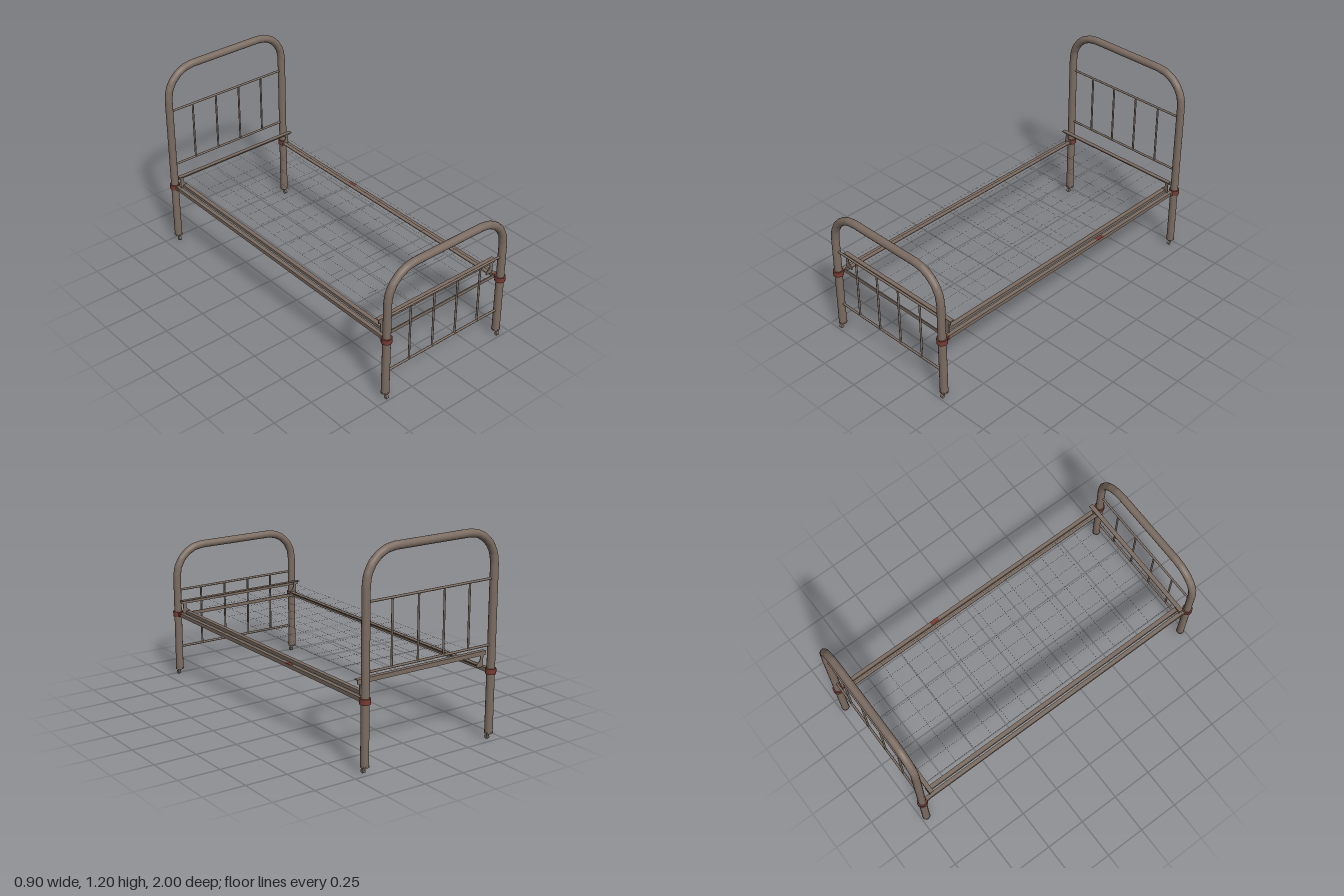
import * as THREE from 'three';

export function createModel() {
  const bed = new THREE.Group();
  bed.name = 'bed';
  const paint = (name, color) => {
    const m = new THREE.MeshStandardMaterial({ color });
    m.name = name;
    return m;
  };
  const metal = paint('agedMetal', 0x7b6c61);
  const rust = paint('rustRed', 0x783c34);

  const V = (x, y, z) => new THREE.Vector3(x, y, z);
  const add = (parent, name, geo, mat, x = 0, y = 0, z = 0) => {
    const mesh = new THREE.Mesh(geo, mat);
    mesh.name = name;
    mesh.position.set(x, y, z);
    parent.add(mesh);
    return mesh;
  };
  const box = (parent, name, x0, x1, y0, y1, z0, z1, mat = metal) =>
    add(parent, name, new THREE.BoxGeometry(x1 - x0, y1 - y0, z1 - z0), mat,
      (x0 + x1) / 2, (y0 + y1) / 2, (z0 + z1) / 2);
  // Round bar between two points
  const rod = (parent, name, a, b, r, sides = 10) => {
    const d = b.clone().sub(a);
    const mesh = add(parent, name, new THREE.CylinderGeometry(r, r, d.length(), sides), metal);
    mesh.position.copy(a).add(b).multiplyScalar(0.5);
    mesh.quaternion.setFromUnitVectors(V(0, 1, 0), d.normalize());
    return mesh;
  };

  const POST = 0.421, END = 0.97, TUBE = 0.023, CORNER = 0.18;

  // Bent tube, cross rails, spindles, collars and casters of one bed end
  const bedEnd = (name, z, height, railLow, railHigh) => {
    const g = new THREE.Group();
    g.name = name;
    const top = height - TUBE, shoulder = top - CORNER, inner = POST - CORNER;
    const path = new THREE.CurvePath();
    const corner = (s) => {
      const pts = [];
      for (let i = 0; i <= 5; i++) {
        const a = (i / 5) * Math.PI / 2;
        pts.push(V(s * (inner + CORNER * Math.cos(a)), shoulder + CORNER * Math.sin(a), z));
      }
      return s < 0 ? pts : pts.reverse();
    };
    const pts = [V(-POST, 0.04, z), ...corner(-1), ...corner(1), V(POST, 0.04, z)];
    for (let i = 1; i < pts.length; i++) path.add(new THREE.LineCurve3(pts[i - 1], pts[i]));
    add(g, 'bentTubeFrame', new THREE.TubeGeometry(path, 110, TUBE, 16), metal);

    for (const y of [railLow, railHigh])
      rod(g, 'crossRail', V(-POST, y, z), V(POST, y, z), 0.007);
    for (const x of [-0.255, -0.085, 0.085, 0.255])
      rod(g, 'spindle', V(x, railLow, z), V(x, railHigh, z), 0.006);

    const inward = -Math.sign(z);
    for (const s of [-1, 1]) {
      add(g, 'legCap', new THREE.CylinderGeometry(0.0245, 0.0245, 0.008, 16), metal, s * POST, 0.041, z);
      add(g, 'collar', new THREE.CylinderGeometry(0.0305, 0.0305, 0.031, 16), rust, s * POST, 0.395, z);
      const zs = [z + inward * 0.02, z + inward * 0.045].sort((a, b) => a - b);
      box(g, 'collarTab', s * POST - 0.012, s * POST + 0.012, 0.383, 0.407, zs[0], zs[1],
        z > 0 && s > 0 ? rust : metal);
      // Caster
      rod(g, 'casterStem', V(s * POST, 0.015, z + 0.008), V(s * POST, 0.04, z + 0.002), 0.007);
      rod(g, 'casterWheel', V(s * POST - 0.008, 0.012, z + 0.012), V(s * POST + 0.008, 0.012, z + 0.012), 0.012, 14);
    }
    bed.add(g);
  };
  bedEnd('headboard', -END, 1.2, 0.545, 0.912);
  bedEnd('footboard', END, 0.835, 0.18, 0.545);
  box(bed, 'footCrossBar', -0.41, 0.41, 0.384, 0.405, 0.931, 0.937);

  // Side rails: outer bar with an inner angle strip
  for (const s of [-1, 1]) {
    const side = new THREE.Group();
    side.name = s > 0 ? 'leftSideRail' : 'rightSideRail';
    const span = (name, a, b, y0, y1, l) =>
      box(side, name, Math.min(s * a, s * b), Math.max(s * a, s * b), y0, y1, -l, l);
    span('outerBar', 0.407, 0.431, 0.384, 0.406, 0.945);
    span('angleFlange', 0.372, 0.396, 0.416, 0.421, 0.912);
    span('angleWeb', 0.393, 0.398, 0.402, 0.421, 0.912);
    bed.add(side);
  }
  box(bed, 'rustPatch', 0.408, 0.4315, 0.4, 0.407, -0.305, -0.25, rust);

  // Corner bracket outline, flared toward the side rail
  const bracket = new THREE.Shape();
  bracket.moveTo(0.368, 0.405);
  bracket.lineTo(0.415, 0.405);
  bracket.lineTo(0.415, 0.49);
  bracket.lineTo(0.395, 0.49);
  bracket.lineTo(0.395, 0.452);
  bracket.quadraticCurveTo(0.39, 0.432, 0.372, 0.425);
  bracket.closePath();
  const bracketGeo = new THREE.ExtrudeGeometry(bracket, { depth: 0.005, bevelEnabled: false, curveSegments: 6 });

  // Raised angle beams holding the springs at each end
  for (const s of [-1, 1]) {
    const beam = new THREE.Group();
    beam.name = s > 0 ? 'footSpringBeam' : 'headSpringBeam';
    box(beam, 'beamTop', -0.43, 0.43, 0.488, 0.493, s * 0.903 - 0.013, s * 0.903 + 0.013);
    box(beam, 'beamWeb', -0.43, 0.43, 0.468, 0.493, s * 0.914 - 0.0025, s * 0.914 + 0.0025);
    add(beam, 'cornerBracket', bracketGeo, metal, 0, 0, s * 0.912 - 0.0025);
    const mirrored = add(beam, 'cornerBracket', bracketGeo, metal, 0, 0, s * 0.912 + 0.0025);
    mirrored.rotation.y = Math.PI;
    bed.add(beam);
  }

  // Fine wire spring mesh
  const springs = new THREE.Group();
  springs.name = 'springMesh';
  const WIRE = 0.0005;
  for (let i = -4; i <= 4; i++)
    rod(springs, 'longWire', V(i * 0.091, 0.49, -0.9), V(i * 0.091, 0.49, 0.9), WIRE, 4);
  for (let j = 0; j < 12; j++) {
    const z = -0.69 + j * 0.127;
    rod(springs, 'crossWire', V(-0.364, 0.49, z), V(0.364, 0.49, z), WIRE, 4);
  }
  bed.add(springs);

  return bed;
}
